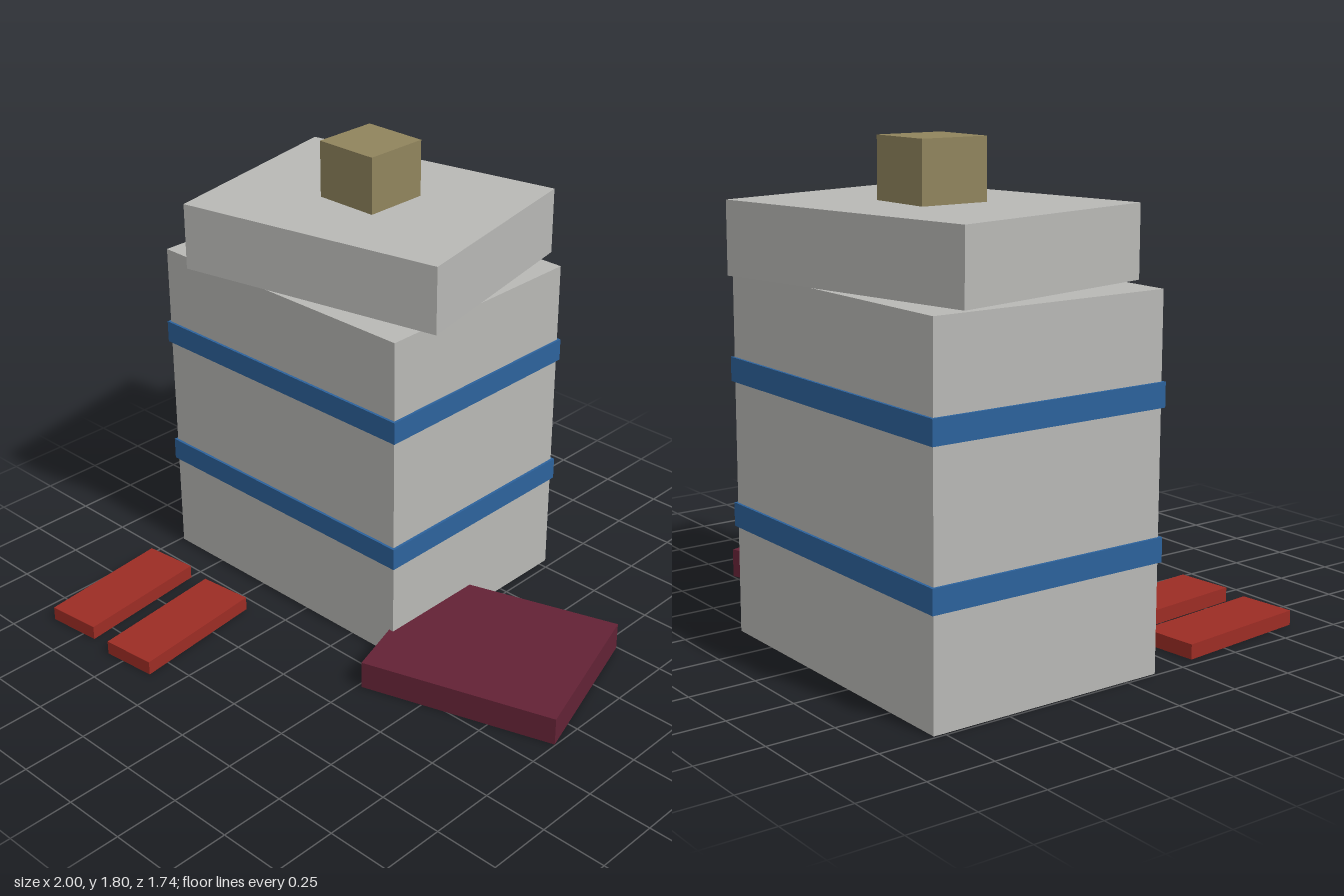
import * as THREE from 'three';

const paint = (name, color) => {
  const m = new THREE.MeshStandardMaterial({ color });
  m.name = name;
  return m;
};

export function createModel() {
  const model = new THREE.Group();
  model.name = 'stackedTower';

  const grey = paint('stone grey', 0xb8b8b5);
  const blue = paint('band blue', 0x2c629c);
  const red = paint('slab red', 0x9c2c24);
  const maroon = paint('slab maroon', 0x632235);
  const olive = paint('knob olive', 0x90845d);

  // Box resting at height y, turned about the vertical axis
  const block = (name, material, [w, h, d], [x, y, z], turn = 0) => {
    const mesh = new THREE.Mesh(new THREE.BoxGeometry(w, h, d), material);
    mesh.name = name;
    mesh.position.set(x, y + h / 2, z);
    mesh.rotation.y = turn;
    model.add(mesh);
  };

  // Main tower with two bands wrapped around it
  block('body', grey, [1.205, 1.32, 0.92], [-0.387, 0, -0.33]);
  for (const y of [0.395, 0.925]) {
    block('band', blue, [1.225, 0.087, 0.94], [-0.387, y, -0.33]);
  }

  // Twisted lid and its knob
  block('lid', grey, [1.091, 0.26, 0.873], [-0.343, 1.32, -0.335], 0.2);
  block('knob', olive, [0.264, 0.22, 0.264], [-0.344, 1.58, -0.335]);

  // Large slab tucked against the left side
  block('sideSlab', maroon, [0.765, 0.11, 0.65], [0.534, 0, -0.07], 0.305);

  // Pair of small slabs in front
  for (const x of [-0.827, -0.497]) {
    block('frontSlab', red, [0.218, 0.055, 0.546], [x, 0, 0.586], 0.1);
  }

  return model;
}
